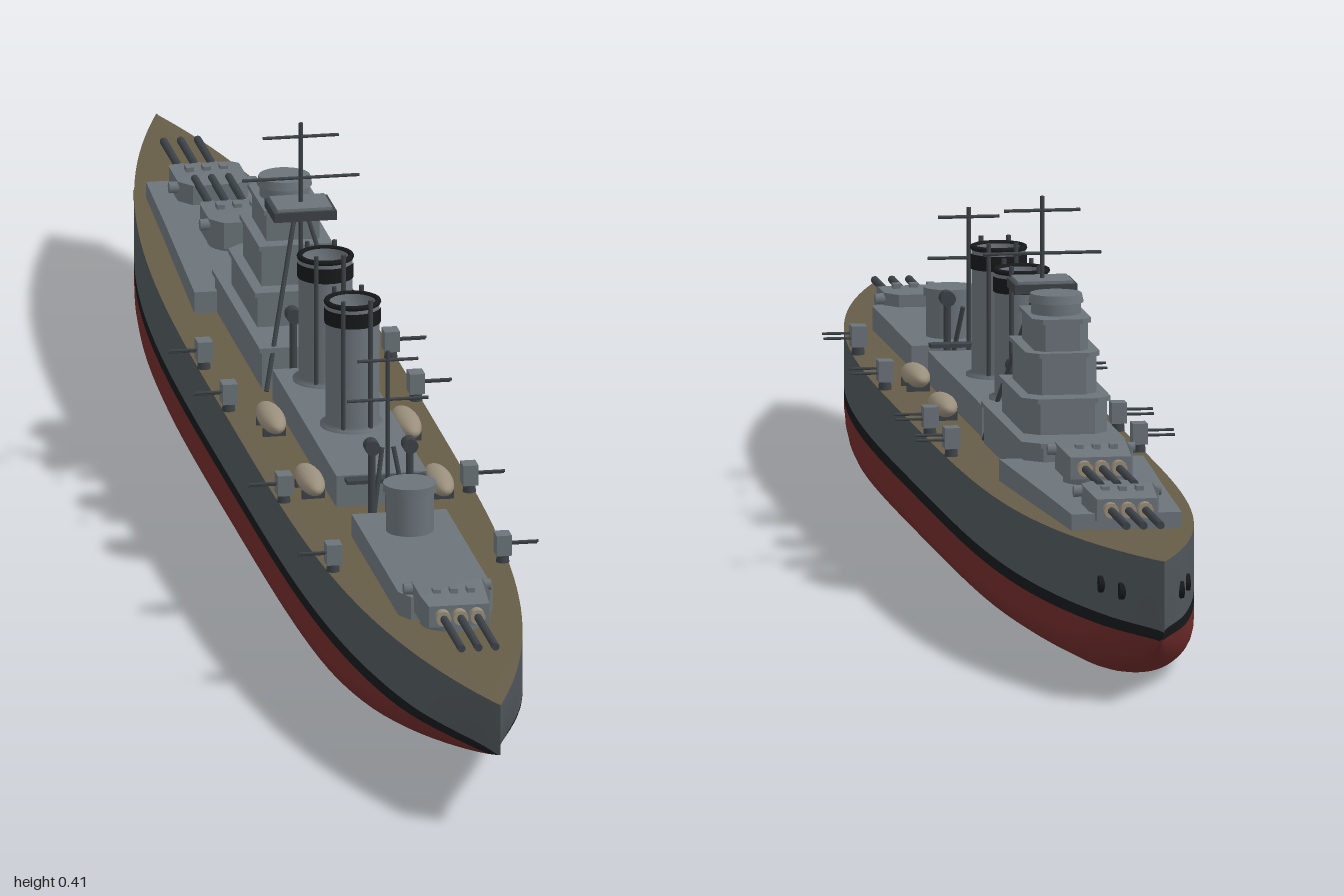
import * as THREE from 'three';

const mat = (color, side = THREE.FrontSide) => new THREE.MeshStandardMaterial({ color, side });
const M = {
  hull: mat(0x4f565a), red: mat(0x6e2b2a), black: mat(0x17191b), deck: mat(0x665d48),
  grey: mat(0x6c747a), dark: mat(0x3d4348), boat: mat(0x9a8f7c),
};

export function createModel() {
  const ship = new THREE.Group();
  ship.name = 'warship';

  const add = (name, geo, m, x = 0, y = 0, z = 0, parent = ship) => {
    const mesh = new THREE.Mesh(geo, m);
    mesh.name = name;
    mesh.position.set(x, y, z);
    parent.add(mesh);
    return mesh;
  };
  const box = (name, w, h, d, m, x, y, z, parent) => add(name, new THREE.BoxGeometry(w, h, d), m, x, y, z, parent);
  const drum = (name, r0, r1, h, m, x, y, z, parent) =>
    add(name, new THREE.CylinderGeometry(r1, r0, h, 24), m, x, y + h / 2, z, parent);
  // Round bar between two points
  const bar = (name, a, b, r, m, parent = ship, seg = 8) => {
    const p = new THREE.Vector3(...a), q = new THREE.Vector3(...b), d = q.clone().sub(p);
    const mesh = add(name, new THREE.CylinderGeometry(r, r, d.length(), seg), m, 0, 0, 0, parent);
    mesh.position.copy(p).add(q).multiplyScalar(0.5);
    mesh.quaternion.setFromUnitVectors(new THREE.Vector3(0, 1, 0), d.normalize());
    return mesh;
  };
  // Upright prism from a half outline of [x, z] points, mirrored in x
  const prism = (name, half, y0, y1, m, parent) => {
    const all = [...half, ...half.map(([x, z]) => [-x, z]).reverse()];
    const shape = new THREE.Shape(all.map(([x, z]) => new THREE.Vector2(x, -z)));
    const geo = new THREE.ExtrudeGeometry(shape, { depth: y1 - y0, bevelEnabled: false });
    return add(name, geo.rotateX(-Math.PI / 2), m, 0, y0, 0, parent);
  };

  // Hull lines
  const width = z => 0.105 * (1 - Math.abs(z) ** 3.7);
  const top = z => 0.136 + (z < 0 ? 0.014 * z * z : -0.002 * z);
  const keel = z => z > 0.45 ? 0.08 * ((z - 0.45) / 0.55) ** 2.2 : z < -0.75 ? 0.075 * ((-z - 0.75) / 0.25) ** 2 : 0;
  const sideX = (z, y) => {
    const e = z ** 4, p = 2.6 - 0.9 * e;
    const u = Math.min(1, Math.max(0, (y - keel(z)) / (0.038 + 0.03 * e)));
    return width(z) * (1 - (1 - u) ** p) ** (1 / p);
  };
  // Skin through one cross-section path per station
  const loft = (name, path, m) => {
    const N = 72, pos = [], idx = [];
    let n = 0;
    for (let i = 0; i <= N; i++) {
      const z = -Math.cos(Math.PI * i / N), pts = path(z);
      n = pts.length;
      pts.forEach(([x, y]) => pos.push(x, y, z));
    }
    for (let i = 0; i < N; i++) for (let j = 0; j < n - 1; j++) {
      const a = i * n + j, b = a + n;
      idx.push(a, a + 1, b, a + 1, b + 1, b);
    }
    const geo = new THREE.BufferGeometry();
    geo.setAttribute('position', new THREE.Float32BufferAttribute(pos, 3));
    geo.setIndex(idx);
    geo.computeVertexNormals();
    add(name, geo, m);
  };
  const band = (z, lo, hi) => [0, 0.5, 1].map(t => {
    const k = keel(z), a = Math.max(lo, k), b = Math.max(hi, k), y = a + (b - a) * t;
    return [sideX(z, y), y];
  });
  loft('lowerHull', z => {
    const k = keel(z), h = Math.max(0.063, k) - k, pts = [];
    for (let j = -14; j <= 14; j++) {
      const s = Math.abs(j) / 14, y = k + h * s ** 3;
      pts.push([Math.sign(j) * sideX(z, y), y]);
    }
    return pts;
  }, M.red);
  [['waterline', () => 0.063, () => 0.075, M.black], ['upperHull', () => 0.075, top, M.hull]].forEach(([name, lo, hi, m]) => {
    loft(name, z => band(z, lo(z), hi(z)), m);
    loft(name, z => band(z, lo(z), hi(z)).reverse().map(([x, y]) => [-x, y]), m);
  });
  loft('deck', z => [[width(z), top(z)], [0, top(z) + 0.001], [-width(z), top(z)]], M.deck);

  // Anchor openings near the bow
  for (const s of [-1, 1]) for (const z of [-0.86, -0.91]) {
    const x = s * width(z);
    bar('anchorPort', [x - s * 0.004, 0.106, z], [x + s * 0.003, 0.106, z], 0.009, M.black, ship, 16);
  }

  // Deckhouses
  prism('foreDeckhouse', [[0.058, -0.74], [0.064, -0.6], [0.076, -0.36]], 0.13, 0.161, M.grey);
  prism('midDeckhouse', [[0.048, -0.06], [0.048, 0.31]], 0.13, 0.17, M.grey);
  prism('aftDeckhouse', [[0.05, 0.41], [0.05, 0.68], [0.04, 0.7]], 0.13, 0.16, M.grey);

  // Bridge in stepped tiers with chamfered fronts
  const tier = (w, z0, z1, y0, y1) => {
    const c = w * 0.35;
    prism('bridgeTier', [[w - c, z0], [w, z0 + c], [w, z1]], y0, y1, M.grey);
    const e = w + 0.003;
    prism('bridgeLedge', [[e - c, z0 - 0.003], [e, z0 + c - 0.003], [e, z1 + 0.003]], y1 - 0.004, y1 + 0.001, M.grey);
  };
  tier(0.052, -0.39, -0.1, 0.13, 0.18);
  tier(0.044, -0.335, -0.17, 0.18, 0.218);
  tier(0.036, -0.31, -0.19, 0.218, 0.262);
  tier(0.028, -0.3, -0.205, 0.262, 0.296);
  drum('directorTower', 0.026, 0.026, 0.015, M.grey, 0, 0.296, -0.255);
  drum('directorCap', 0.029, 0.027, 0.009, M.grey, 0, 0.309, -0.255);

  // Funnels: hollow casing, dark cap band and side pipes
  for (const z of [0.14, -0.017]) {
    const f = new THREE.Group();
    f.name = 'funnel';
    f.position.set(0, 0.165, z);
    ship.add(f);
    const P = [[0.034, 0], [0.034, 0.008], [0.028, 0.01], [0.028, 0.14], [0.024, 0.14], [0.024, 0.11], [0, 0.11]];
    add('funnelCasing', new THREE.LatheGeometry(P.map(p => new THREE.Vector2(...p)), 28), M.grey, 0, 0, 0, f);
    add('funnelBand', new THREE.CylinderGeometry(0.0295, 0.0295, 0.016, 28, 1, true), M.black, 0, 0.126, 0, f);
    add('funnelRim', new THREE.TorusGeometry(0.027, 0.003, 8, 28).rotateX(Math.PI / 2), M.black, 0, 0.14, 0, f);
    drum('funnelInside', 0.0238, 0.0238, 0.002, M.black, 0, 0.11, 0, f);
    for (const s of [-1, 1]) for (const a of [0.5, 2.64]) {
      const x = s * 0.03 * Math.sin(a), pz = 0.03 * Math.cos(a);
      bar('steamPipe', [x, 0, pz], [x, 0.148, pz], 0.0025, M.dark, f);
    }
  }

  // Masts with yards and raking legs
  const mast = (z, base, head, yards, legTop, legZ, legX) => {
    const g = new THREE.Group();
    g.name = 'mast';
    ship.add(g);
    bar('mastPole', [0, base, z], [0, head, z], 0.0022, M.dark, g);
    yards.forEach(([y, w]) => bar('yard', [-w, y, z], [w, y, z], 0.0018, M.dark, g));
    for (const s of [-1, 1]) bar('mastLeg', [s * 0.006, legTop, z], [s * legX, 0.138, legZ], 0.0025, M.dark, g);
  };
  mast(-0.16, 0.17, 0.405, [[0.345, 0.062], [0.39, 0.04]], 0.307, -0.085, 0.05);
  mast(0.345, 0.135, 0.315, [[0.262, 0.043], [0.305, 0.032]], 0.21, 0.362, 0.018);
  box('spottingTop', 0.066, 0.01, 0.056, M.dark, 0, 0.311, -0.16);
  box('spottingRoof', 0.058, 0.004, 0.048, M.grey, 0, 0.317, -0.16);

  // Searchlight posts
  for (const z of [-0.095, 0.362]) for (const s of [-1, 1]) {
    bar('lightPost', [s * 0.02, 0.135, z], [s * 0.02, 0.212, z], 0.004, M.dark);
    bar('searchlight', [s * 0.02, 0.217, z - 0.008], [s * 0.02, 0.217, z + 0.008], 0.008, M.dark, ship, 14);
  }
  box('lightPlatform', 0.085, 0.004, 0.016, M.dark, 0, 0.172, 0.335);

  // Aft control tower
  drum('aftTower', 0.025, 0.025, 0.045, M.grey, 0, 0.16, 0.473);
  drum('aftTowerCap', 0.028, 0.028, 0.009, M.grey, 0, 0.203, 0.473);

  // Triple gun turrets, muzzles along local +z
  const turret = (z, y, dir) => {
    const g = new THREE.Group();
    g.name = 'mainTurret';
    g.position.set(0, y, z);
    g.rotation.y = dir > 0 ? 0 : Math.PI;
    ship.add(g);
    drum('barbette', 0.033, 0.033, 0.035, M.grey, 0, -0.033, 0, g);
    const body = prism('gunHouse', [[0.024, -0.047], [0.037, -0.03], [0.037, 0.022], [0.032, 0.045]], 0, 0.028, M.grey, g);
    const p = body.geometry.attributes.position;
    for (let i = 0; i < p.count; i++) if (p.getZ(i) > 0.04 && p.getY(i) > 0.02) p.setY(i, 0.023);
    body.geometry.computeVertexNormals();
    bar('rangefinder', [-0.046, 0.021, -0.026], [0.046, 0.021, -0.026], 0.006, M.grey, g, 10);
    for (const x of [-0.018, 0, 0.018]) {
      bar('gunSleeve', [x, 0.012, 0.03], [x, 0.012, 0.056], 0.008, M.boat, g, 14);
      bar('gunBarrel', [x, 0.012, 0.04], [x, 0.012, 0.158], 0.0042, M.dark, g, 10);
      box('sightHood', 0.008, 0.005, 0.012, M.grey, x, 0.029, 0.01, g);
    }
  };
  turret(0.715, 0.145, 1);
  turret(-0.7, 0.154, -1);
  turret(-0.52, 0.17, -1);

  // Twin secondary guns along both sides
  for (const s of [-1, 1]) for (const z of [-0.18, -0.035, 0.28, 0.52]) {
    const x = s * (width(z) - 0.006), y = top(z);
    drum('gunPedestal', 0.007, 0.006, 0.012, M.dark, x, y, z);
    box('gunShield', 0.016, 0.022, 0.02, M.grey, x, y + 0.02, z);
    for (const d of [-0.004, 0.004])
      bar('lightBarrel', [x, y + 0.02 + d * 0.5, z + d], [x + s * 0.037, y + 0.02 + d * 0.5, z + d], 0.0015, M.dark);
  }

  // Ship's boats with cradles
  for (const [x, z] of [[-0.068, 0.04], [0.068, 0.08], [-0.066, 0.255], [0.066, 0.28]]) {
    add('boat', new THREE.SphereGeometry(1, 20, 12).scale(0.014, 0.0115, 0.045), M.boat, x, 0.15, z);
    for (const d of [-0.02, 0.02]) box('boatCradle', 0.024, 0.01, 0.004, M.dark, x, 0.14, z + d);
  }
  return ship;
}
